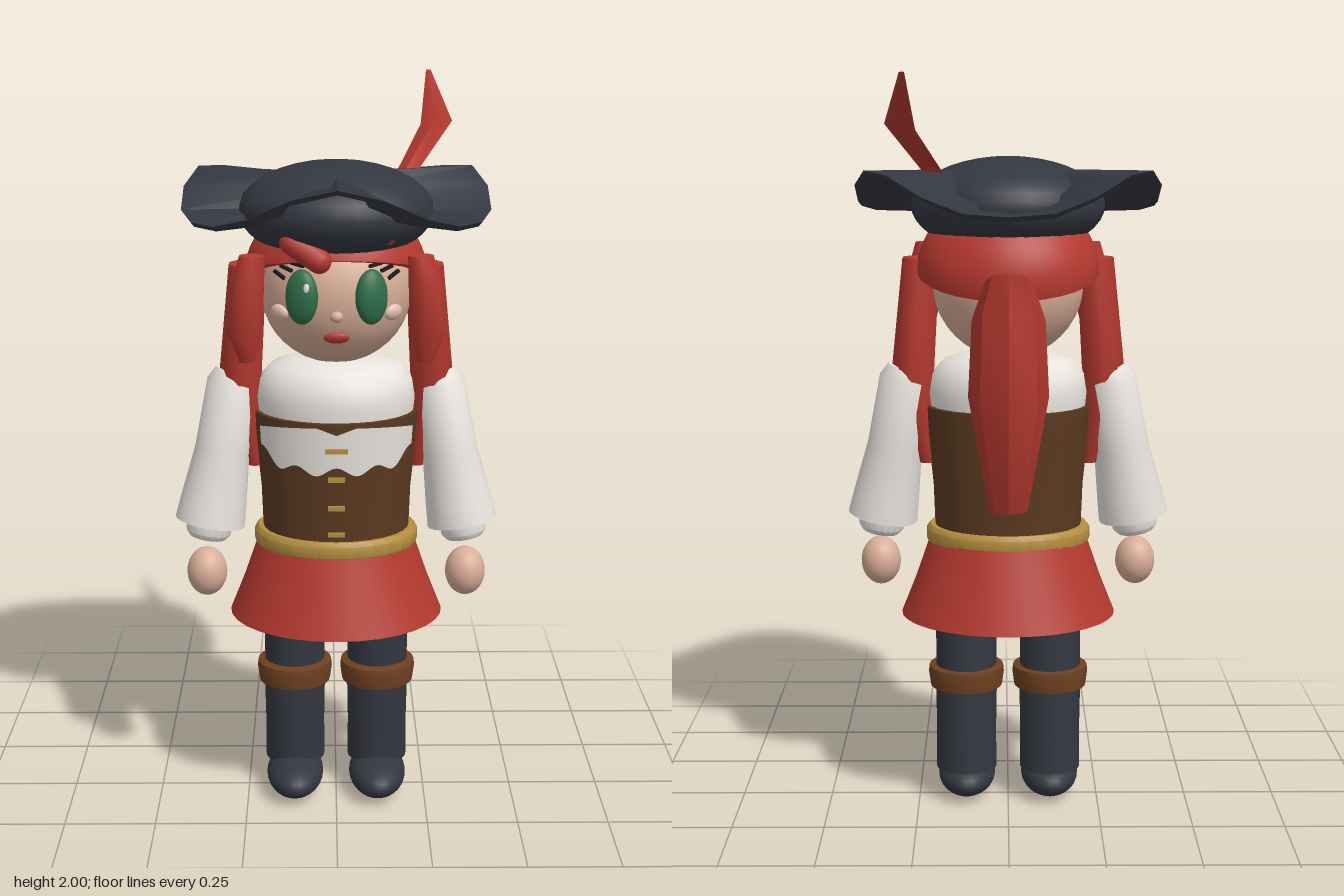
import * as THREE from 'three';
import { toCreasedNormals } from 'three/addons/utils/BufferGeometryUtils.js';

const mat = (name, color, side = THREE.FrontSide) => {
  const m = new THREE.MeshStandardMaterial({ color, side });
  m.name = name;
  return m;
};
const V = (x, y, z) => new THREE.Vector3(x, y, z);

export function createModel() {
  const red = mat('red', 0xb5392f, THREE.DoubleSide);
  const skin = mat('skin', 0xd8ae98);
  const white = mat('white', 0xe9e5df, THREE.DoubleSide);
  const dark = mat('charcoal', 0x343740);
  const brown = mat('corset brown', 0x5a3a20);
  const leather = mat('cuff leather', 0x6e4020);
  const gold = mat('gold', 0xb48f3e);
  const green = mat('eye green', 0x2f6e4a);
  const blush = mat('blush', 0xe6bfae);
  const black = mat('black', 0x1d1b1d);

  const model = new THREE.Group();
  model.name = 'hatted figure';

  const add = (name, geo, material, pos = [0, 0, 0], scale = [1, 1, 1]) => {
    const m = new THREE.Mesh(geo, material);
    m.name = name;
    m.position.set(...pos);
    m.scale.set(...scale);
    model.add(m);
    return m;
  };
  const lathe = (pts, seg = 28) =>
    toCreasedNormals(new THREE.LatheGeometry(pts.map(p => new THREE.Vector2(...p)), seg), 0.7);
  const ball = (name, material, pos, scale) =>
    add(name, new THREE.SphereGeometry(1, 28, 20), material, pos, scale);
  // turn a mesh so its y axis runs along a direction
  const aim = (mesh, dir) => mesh.quaternion.setFromUnitVectors(V(0, 1, 0), dir.clone().normalize());
  const capsule = (name, material, a, b, r) => {
    const d = b.clone().sub(a);
    aim(add(name, new THREE.CapsuleGeometry(r, d.length(), 6, 14), material, a.clone().lerp(b, 0.5).toArray()), d);
  };
  // closed skin over rings of points listed from bottom to top
  const loft = (rings, crease) => {
    const n = rings[0].length, idx = [], last = (rings.length - 1) * n;
    for (let i = 0; i < rings.length - 1; i++)
      for (let j = 0; j < n; j++) {
        const a = i * n + j, b = i * n + (j + 1) % n;
        idx.push(a, b, a + n, b, b + n, a + n);
      }
    for (let j = 1; j < n - 1; j++) idx.push(0, j + 1, j, last, last + j, last + j + 1);
    const g = new THREE.BufferGeometry();
    g.setAttribute('position', new THREE.Float32BufferAttribute(rings.flat().flatMap(p => p.toArray()), 3));
    g.setIndex(idx);
    return toCreasedNormals(g, crease);
  };
  // elliptical ring: centre, half widths and a tilt of y with z
  const ring = ([x, y, z, hx, hz, tilt = 0], n = 10) => Array.from({ length: n }, (_, j) => {
    const a = j / n * Math.PI * 2;
    return V(x + hx * Math.sin(a), y + hz * Math.cos(a) * tilt, z + hz * Math.cos(a));
  });

  // hat brim with three raised lobes
  const brim = new THREE.LatheGeometry(
    [[0.08, 1.638], [0.4, 1.638], [0.41, 1.65], [0.08, 1.65]].map(p => new THREE.Vector2(...p)), 22);
  const bp = brim.attributes.position;
  for (let i = 0; i < bp.count; i++) {
    const t = Math.atan2(bp.getX(i), bp.getZ(i));
    bp.setY(i, bp.getY(i) + 0.11 * Math.pow((1 + Math.cos(3 * t)) / 2, 1.5));
  }
  brim.computeVertexNormals();
  add('hatBrim', toCreasedNormals(brim, 0.9), dark);
  ball('hatCrown', dark, [0, 1.66, 0], [0.26, 0.13, 0.26]);

  // feather: left edge, right edge at each station
  const n = V(-0.35, 0.73, 0.58).multiplyScalar(0.01);
  add('feather', loft([
    [V(0.16, 1.735, -0.13), V(0.21, 1.735, -0.1)],
    [V(0.235, 1.86, -0.255), V(0.317, 1.875, -0.19)],
    [V(0.255, 2, -0.375), V(0.268, 2, -0.372)],
  ].map(([l, r], i) => {
    const m = l.clone().lerp(r, 0.5), k = n.clone().multiplyScalar(i === 2 ? 0.1 : 1);
    return [m.clone().add(k), r, m.clone().sub(k), l];
  }), 0.5), red);

  // head, hair cap and ponytail
  const HY = 1.455, HR = 0.205;
  ball('head', skin, [0, HY, 0], [HR, HR, HR]);
  const cap = add('hairCap', new THREE.SphereGeometry(1, 32, 14, 0, Math.PI * 2, 0, Math.PI / 2), red,
    [0, 1.49, -0.025], [0.245, 0.2, 0.232]);
  cap.rotation.x = -0.28;
  const rim = add('hairUnderside', new THREE.CircleGeometry(1, 32), red, [0, 1.49, -0.025], [0.245, 0.232, 1]);
  rim.rotation.x = Math.PI / 2 - 0.28;
  capsule('fringeLeftSweep', red, V(-0.115, 1.6, 0.185), V(-0.045, 1.555, 0.205), 0.032);
  capsule('fringeTopSweep', red, V(0.01, 1.612, 0.19), V(0.13, 1.617, 0.165), 0.028);
  add('ponytail', loft([
    [0, 0.87, -0.222, 0.05, 0.042], [0, 1.18, -0.25, 0.105, 0.135],
    [0, 1.38, -0.265, 0.095, 0.09, -0.3], [0, 1.485, -0.31, 0.06, 0.045, -0.5],
  ].map(r => ring(r, 8)), 0.6), red);

  // facial features laid on the surface of the head
  const onFace = (name, material, x, y, size, out = 0) => {
    const z = Math.sqrt(HR * HR - x * x - (y - HY) ** 2);
    const m = ball(name, material, [x, y, z + out], size);
    m.lookAt(x * 2, y + (y - HY), z * 2 + out);
    return m;
  };
  onFace('nose', skin, 0, 1.41, [0.017, 0.015, 0.015]);
  onFace('mouth', red, 0, 1.35, [0.034, 0.017, 0.012]);

  // torso
  const flat = [1, 1, 0.87];
  add('blouse', lathe([[0.21, 1.1], [0.217, 1.16], [0.208, 1.21], [0.175, 1.245], [0.12, 1.262], [0, 1.265]]), white, [0, 0, 0], flat);
  add('corset', lathe([[0.2, 0.76], [0.205, 0.9], [0.22, 1.05], [0.224, 1.122], [0.2, 1.123]]), brown, [0, 0, 0], flat);

  // scalloped white bust panel wrapped on the corset
  const panel = new THREE.PlaneGeometry(1, 1, 48, 4), pp = panel.attributes.position;
  for (let i = 0; i < pp.count; i++) {
    const u = pp.getX(i) * 2, t = pp.getY(i) + 0.5, a = u * 1.12;
    const top = 1.112 - 0.02 * Math.max(0, 1 - Math.abs(u) * 5) - 0.02 * u * u;
    const low = 0.99 + 0.012 * Math.cos(u * 14) + 0.05 * u ** 4;
    const y = low + (top - low) * t, r = 0.206 + 0.024 * (y - 0.76) / 0.36;
    pp.setXYZ(i, r * Math.sin(a), y, r * Math.cos(a) * 0.87);
  }
  panel.computeVertexNormals();
  add('bustPanel', panel, white);
  for (const [i, y] of [1.05, 0.97, 0.89, 0.815].entries())
    add('corsetClasp', new THREE.BoxGeometry(i === 0 ? 0.06 : 0.045, 0.012, 0.009), gold,
      [0, y, (0.205 + 0.024 * (y - 0.76) / 0.36) * 0.87 + 0.004]);

  // belt and skirt
  add('belt', lathe([[0.19, 0.74], [0.215, 0.738], [0.225, 0.75], [0.225, 0.78], [0.215, 0.792], [0.19, 0.79]]), gold, [0, 0, 0], flat);
  add('skirt', lathe([[0.295, 0.54], [0.255, 0.64], [0.215, 0.755]], 32), red, [0, 0, -0.004], [1, 1, 0.91]);

  for (const s of [-1, 1]) {
    // eyes, lashes and cheeks
    onFace('eye', green, s * 0.09, 1.46, [0.045, 0.072, 0.028], 0.004);
    onFace('eyeGlint', white, s * 0.09 + 0.012, 1.487, [0.008, 0.012, 0.004], 0.03);
    onFace('cheek', blush, s * 0.148, 1.41, [0.03, 0.022, 0.015]);
    for (const [x, y, tilt] of [[0.1, 1.54, 0.15], [0.13, 1.528, 0.3], [0.148, 1.51, 0.5]]) {
      const z = Math.sqrt(HR * HR - x * x - (y - HY) ** 2) + 0.008;
      const lash = add('eyelash', new THREE.BoxGeometry(0.038, 0.008, 0.009), black, [s * x, y, z]);
      lash.rotation.set(0, s * 0.6, s * tilt);
    }

    // long outer lock and short front lock
    add('outerLock', loft([
      [s * 0.222, 0.96, 0, 0.02, 0.02], [s * 0.245, 1.08, 0, 0.045, 0.05],
      [s * 0.26, 1.2, 0, 0.06, 0.07], [s * 0.235, 1.52, 0.02, 0.052, 0.066],
    ].map(r => ring(r)), 0.8), red);
    add('frontLock', loft([
      [s * 0.235, 1.27, 0.1, 0.022, 0.02], [s * 0.242, 1.36, 0.11, 0.05, 0.042],
      [s * 0.232, 1.48, 0.115, 0.045, 0.042], [s * 0.22, 1.555, 0.11, 0.035, 0.035],
    ].map(r => ring(r)), 0.8), red);

    // bell sleeve and hand
    const wrist = V(s * 0.35, 0.79, 0.027), shoulder = V(s * 0.27, 1.23, -0.003);
    const sleeve = add('sleeve', lathe([[0, -0.03], [0.05, -0.03], [0.062, -0.015], [0.062, 0.02], [0.096, 0.015],
      [0.09, 0.08], [0.075, 0.22], [0.073, 0.41], [0.055, 0.445], [0, 0.452]], 20), white, wrist.toArray());
    aim(sleeve, shoulder.sub(wrist));
    ball('hand', skin, [s * 0.356, 0.67, 0.055], [0.055, 0.068, 0.058]);

    // leg, boot cuff, boot shaft and shoe
    const x = s * 0.117;
    const leg = add('leg', new THREE.CylinderGeometry(0.084, 0.084, 0.4, 24), dark, [x, 0.55, -0.007]);
    leg.rotation.x = 0.03;
    const shaft = add('bootShaft', lathe([[0, 0.09], [0.084, 0.09], [0.083, 0.2], [0.086, 0.36], [0, 0.36]], 24), dark, [x, 0, -0.02]);
    shaft.rotation.x = 0.03;
    add('bootCuff', lathe([[0.08, 0.325], [0.1, 0.328], [0.105, 0.365], [0.103, 0.385], [0.08, 0.39]], 24), leather, [x, 0, -0.007]);
    ball('shoe', dark, [x, 0.056, 0.03], [0.08, 0.056, 0.145]);
  }
  return model;
}
